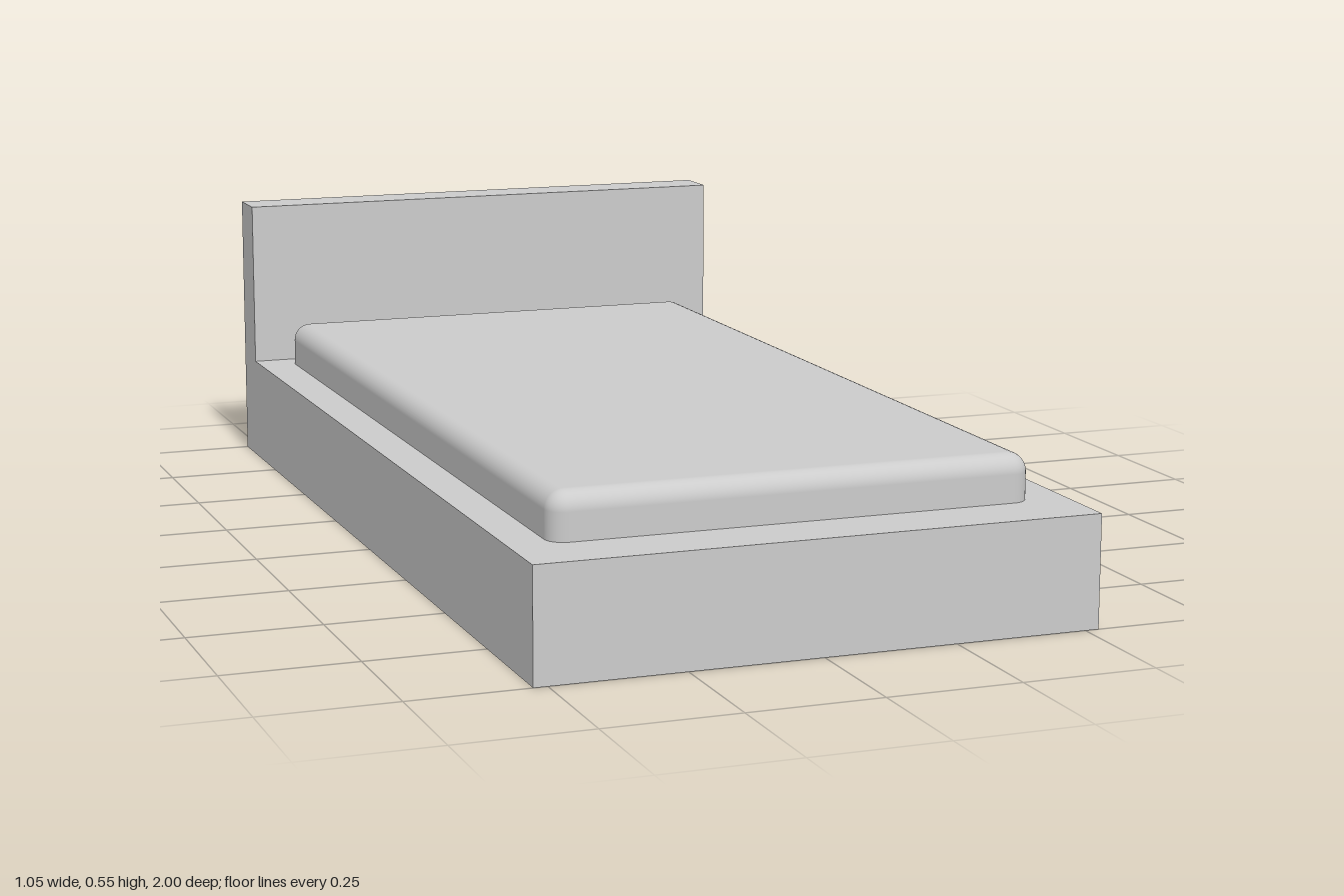
import * as THREE from 'three';
import { RoundedBoxGeometry } from 'three/addons/geometries/RoundedBoxGeometry.js';

const WIDTH = 1.052;
const LENGTH = 2;
const BASE_HEIGHT = 0.21;
const HEADBOARD_TOP = 0.55;
const HEADBOARD_DEPTH = 0.094;
const MATTRESS_TOP = 0.297;
const MATTRESS_HEIGHT = 0.14;

export function createModel() {
  const bed = new THREE.Group();
  bed.name = 'bed';
  const material = new THREE.MeshStandardMaterial({ color: 0xcccccc });

  const addPart = (name, geometry, y, z = 0) => {
    const mesh = new THREE.Mesh(geometry, material);
    mesh.name = name;
    mesh.position.set(0, y, z);
    bed.add(mesh);
  };

  // Solid platform reaching the floor
  addPart('base', new THREE.BoxGeometry(WIDTH, BASE_HEIGHT, LENGTH), BASE_HEIGHT / 2);

  // Upright panel standing on the back end of the base
  const panelHeight = HEADBOARD_TOP - BASE_HEIGHT;
  addPart(
    'headboard',
    new THREE.BoxGeometry(WIDTH, panelHeight, HEADBOARD_DEPTH),
    BASE_HEIGHT + panelHeight / 2,
    -LENGTH / 2 + HEADBOARD_DEPTH / 2
  );

  // Soft-edged mattress, its lower part sunk into the base
  addPart(
    'mattress',
    new RoundedBoxGeometry(0.905, MATTRESS_HEIGHT, 1.753, 6, 0.035),
    MATTRESS_TOP - MATTRESS_HEIGHT / 2
  );

  return bed;
}
